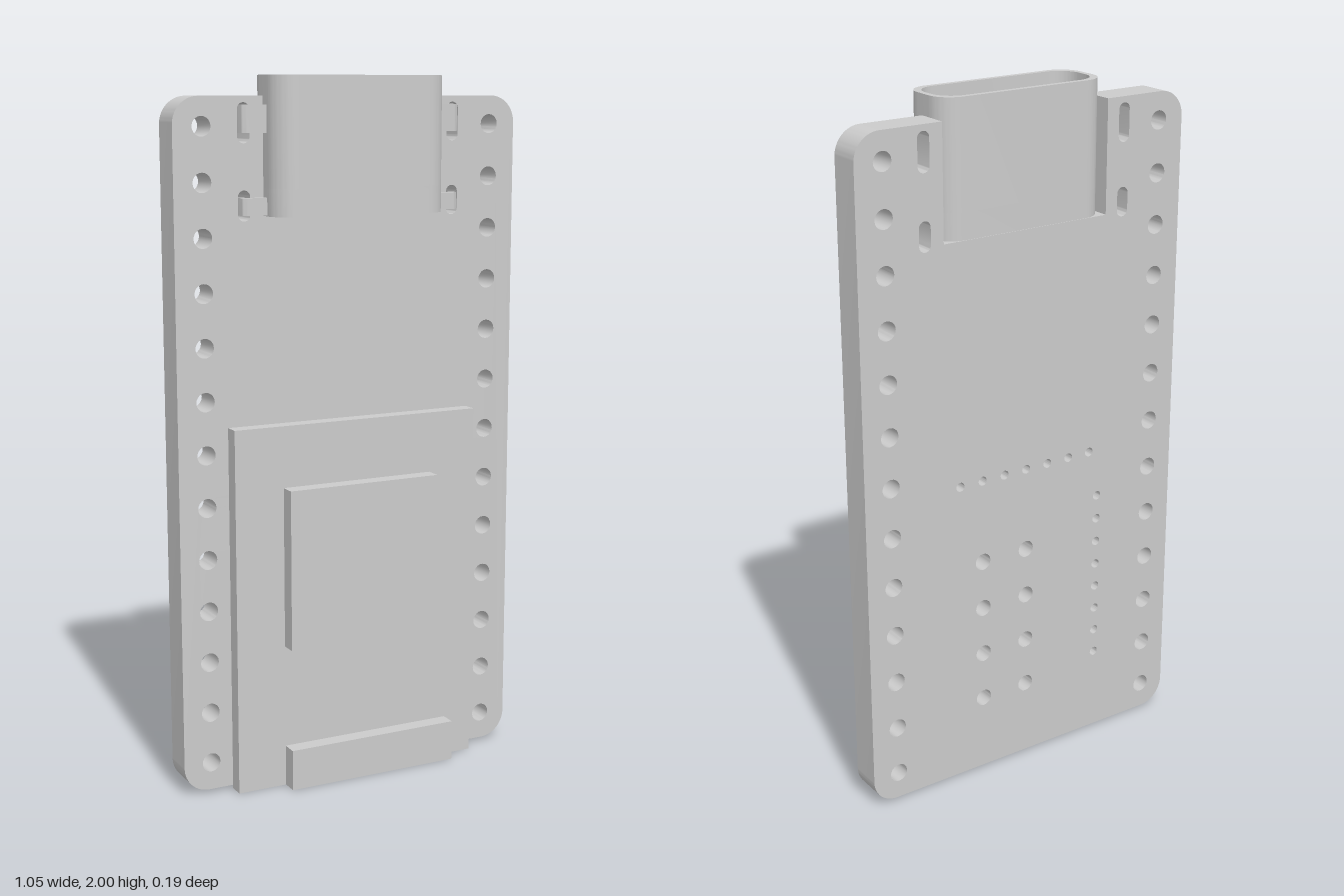
import * as THREE from 'three';
import { toCreasedNormals } from 'three/addons/utils/BufferGeometryUtils.js';

const material = new THREE.MeshStandardMaterial({ color: 0xcccccc });

function addMesh(parent, name, geometry) {
  const mesh = new THREE.Mesh(geometry, material);
  mesh.name = name;
  parent.add(mesh);
  return mesh;
}

// Box given by its limits on each axis
function addBox(parent, name, [x0, x1], [y0, y1], [z0, z1]) {
  const mesh = addMesh(parent, name, new THREE.BoxGeometry(x1 - x0, y1 - y0, z1 - z0));
  mesh.position.set((x0 + x1) / 2, (y0 + y1) / 2, (z0 + z1) / 2);
}

function extrude(shape, depth) {
  const geometry = new THREE.ExtrudeGeometry(shape, { depth, bevelEnabled: false, curveSegments: 10 });
  return toCreasedNormals(geometry, 0.6);
}

// Extrudes a shape drawn in (x, -z) upwards between two heights
function extrudeUp(shape, y0, y1) {
  return extrude(shape, y1 - y0).rotateX(-Math.PI / 2).translate(0, y0, 0);
}

function roundHole(x, y, r) {
  return new THREE.Path().absarc(x, y, r, 0, Math.PI * 2, true);
}

function slotHole(x, y0, y1, r) {
  return new THREE.Path()
    .absarc(x, y1 - r, r, 0, Math.PI, false)
    .absarc(x, y0 + r, r, Math.PI, Math.PI * 2, false)
    .closePath();
}

function roundedRect(w, h, r, target = new THREE.Shape()) {
  return target
    .absarc(w - r, h - r, r, 0, Math.PI / 2, false)
    .absarc(-w + r, h - r, r, Math.PI / 2, Math.PI, false)
    .absarc(-w + r, -h + r, r, Math.PI, Math.PI * 1.5, false)
    .absarc(w - r, -h + r, r, Math.PI * 1.5, Math.PI * 2, false)
    .closePath();
}

function boardShape() {
  const w = 0.525, y0 = 0.01, y1 = 1.945, r = 0.075, notch = 0.265, notchY = 1.625;
  const shape = new THREE.Shape()
    .absarc(-w + r, y0 + r, r, Math.PI, Math.PI * 1.5, false)
    .absarc(w - r, y0 + r, r, Math.PI * 1.5, Math.PI * 2, false)
    .absarc(w - r, y1 - r, r, 0, Math.PI / 2, false)
    .lineTo(notch, y1)
    .lineTo(notch, notchY)
    .lineTo(-notch, notchY)
    .lineTo(-notch, y1)
    .absarc(-w + r, y1 - r, r, Math.PI / 2, Math.PI, false)
    .closePath();

  // Pin holes along both edges and slots for the connector legs
  for (const s of [-1, 1]) {
    for (let i = 0; i < 13; i++) shape.holes.push(roundHole(s * 0.443, 0.09 + i * 0.148, 0.027));
    shape.holes.push(slotHole(s * 0.322, 1.82, 1.928, 0.018), slotHole(s * 0.322, 1.612, 1.695, 0.018));
  }
  // Test point holes: a row, a column and a grid
  for (let i = 0; i < 7; i++) shape.holes.push(roundHole(-0.222 + i * 0.074, 0.928, 0.0135));
  for (let i = 0; i < 8; i++) shape.holes.push(roundHole(-0.254, 0.265 + i * 0.074, 0.0135));
  for (let i = 0; i < 4; i++) {
    for (const x of [0, 0.148]) shape.holes.push(roundHole(x, 0.238 + i * 0.147, 0.025));
  }
  return shape;
}

export function createModel() {
  const model = new THREE.Group();
  model.name = 'circuitBoard';

  addMesh(model, 'board', extrude(boardShape(), 0.094).translate(0, 0, -0.094));

  // Parts on the front
  addBox(model, 'modulePlate', [-0.378, 0.378], [0, 1.05], [0, 0.045]);
  addBox(model, 'chip', [-0.232, 0.232], [0.415, 0.875], [0.045, 0.092]);
  addBox(model, 'bottomConnector', [-0.232, 0.29], [0, 0.118], [0.045, 0.092]);

  // Port in the notch: hollow shell, closed base and inner tongue
  const port = new THREE.Group();
  port.name = 'port';
  model.add(port);
  const shell = roundedRect(0.262, 0.092, 0.065);
  shell.holes.push(roundedRect(0.246, 0.076, 0.062, new THREE.Path()));
  addMesh(port, 'portShell', extrudeUp(shell, 1.7, 2));
  addMesh(port, 'portBase', extrudeUp(roundedRect(0.262, 0.092, 0.065), 1.625, 1.7));
  addBox(port, 'portTongue', [-0.195, 0.195], [1.7, 1.96], [-0.024, 0.024]);

  // Bent mounting legs reaching into the slots
  for (const s of [-1, 1]) {
    for (const [y0, y1] of [[1.847, 1.922], [1.628, 1.675]]) {
      const leg = new THREE.Shape()
        .moveTo(s * 0.255, -0.018)
        .lineTo(s * 0.315, -0.018)
        .quadraticCurveTo(s * 0.334, -0.018, s * 0.334, 0.002)
        .lineTo(s * 0.334, 0.03)
        .lineTo(s * 0.316, 0.03)
        .lineTo(s * 0.316, 0)
        .lineTo(s * 0.255, 0)
        .closePath();
      addMesh(port, 'mountingLeg', extrudeUp(leg, y0, y1));
    }
  }
  return model;
}
